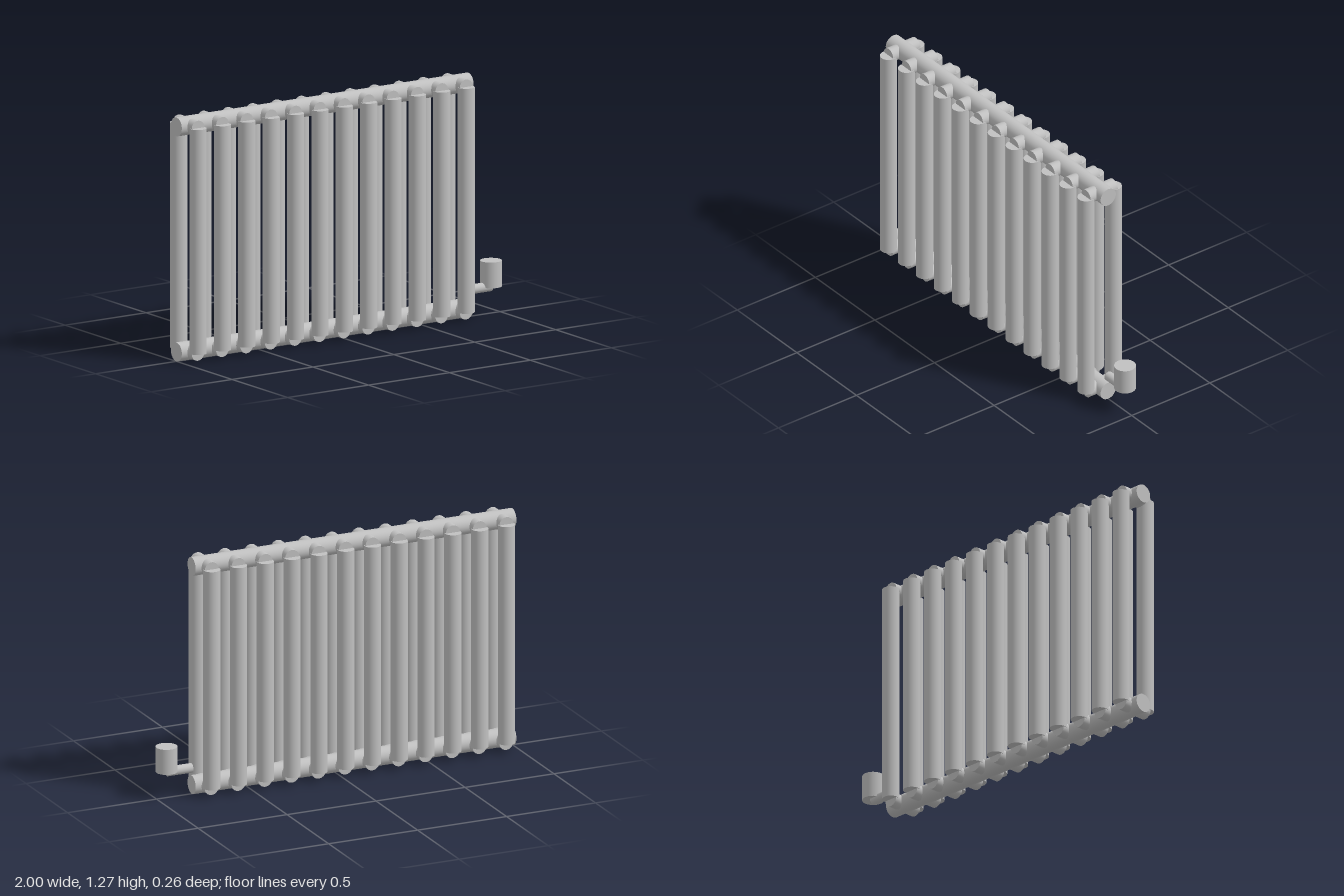
import * as THREE from 'three';

export function createModel() {
  const model = new THREE.Group();
  model.name = 'radiator';
  const metal = new THREE.MeshStandardMaterial({ color: 0xc0c0c0 });
  metal.name = 'grey metal';

  // Closed cylinder of given radius and length along one axis
  function pipe(name, axis, radius, length, x, y, z) {
    const geometry = new THREE.CylinderGeometry(radius, radius, length, 40);
    if (axis === 'x') geometry.rotateZ(-Math.PI / 2);
    if (axis === 'z') geometry.rotateX(Math.PI / 2);
    const mesh = new THREE.Mesh(geometry, metal);
    mesh.name = name;
    mesh.position.set(x, y, z);
    model.add(mesh);
  }

  const low = 0.051, high = 1.227;   // heights of the header pipes
  const columnZ = 0.087;             // offset of the column rows
  const count = 12, firstX = -0.926, spacing = 0.1506;

  // Horizontal headers
  pipe('bottomHeader', 'x', 0.049, 1.803, -0.0985, low, 0);
  pipe('topHeader', 'x', 0.049, 1.803, -0.0985, high, 0);

  // Paired columns with cross connectors at both ends
  for (let i = 0; i < count; i++) {
    const x = firstX + i * spacing;
    for (const side of [1, -1]) {
      pipe(side > 0 ? 'frontColumn' : 'backColumn', 'y', 0.044, high - low, x, (low + high) / 2, side * columnZ);
    }
    pipe('bottomConnector', 'z', 0.039, 2 * columnZ, x, low, 0);
    pipe('topConnector', 'z', 0.039, 2 * columnZ, x, high, 0);
  }

  // Valve stem and knob
  pipe('valveStem', 'x', 0.025, 0.138, 0.873, 0.142, 0);
  pipe('valveKnob', 'y', 0.056, 0.135, 0.944, 0.2105, 0);

  return model;
}
